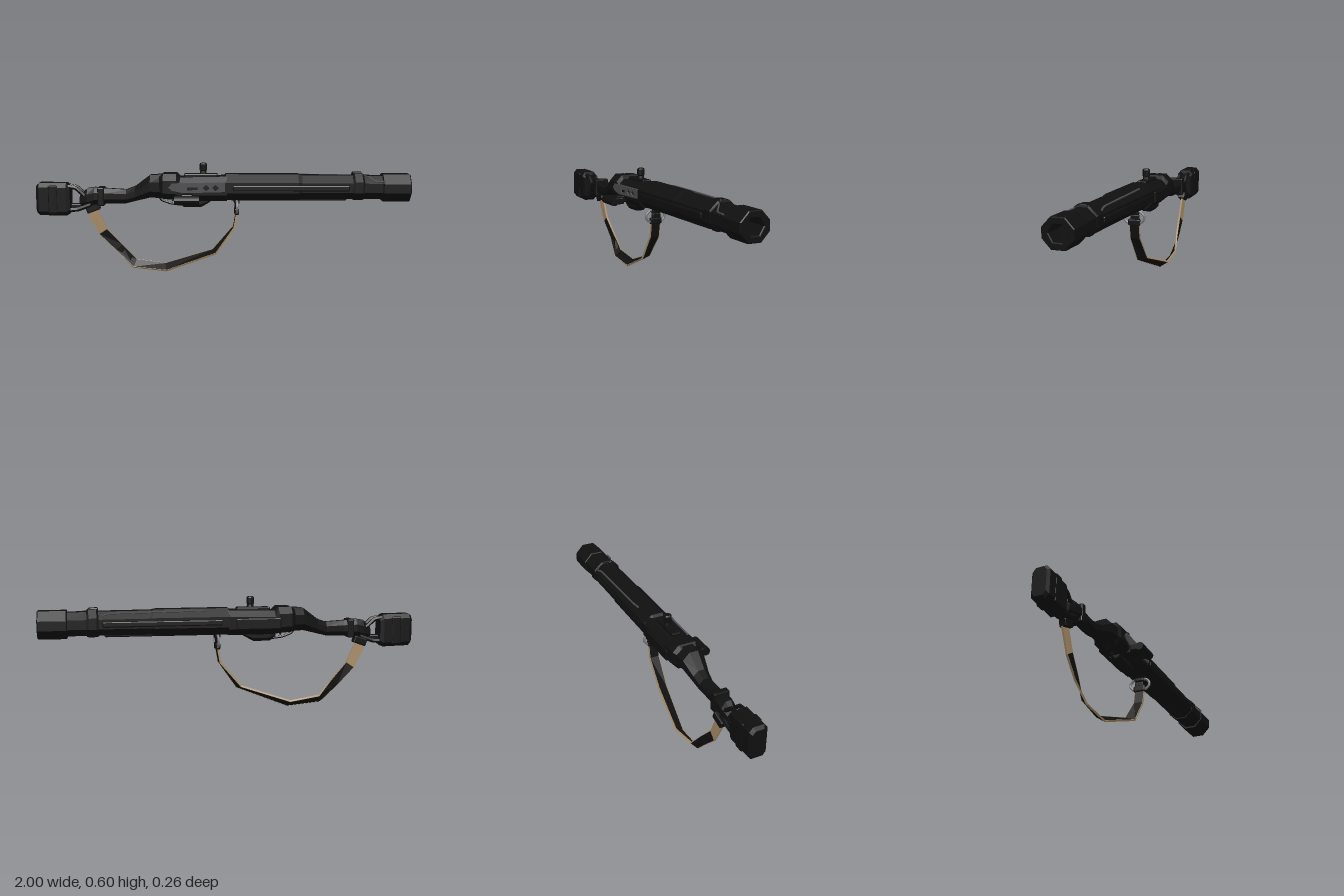
import * as THREE from 'three';
import { RoundedBoxGeometry } from 'three/addons/geometries/RoundedBoxGeometry.js';

const mat = (color) => new THREE.MeshStandardMaterial({ color, flatShading: true, side: THREE.DoubleSide });
const black = mat(0x101010), grey = mat(0x4a4a4c), steel = mat(0x77777c), tan = mat(0xa58a65);
const V = (x, y, z) => new THREE.Vector3(x, y, z);

function add(parent, name, geometry, material = black, x = 0, y = 0, z = 0) {
  const mesh = new THREE.Mesh(geometry, material);
  mesh.name = name;
  mesh.position.set(x, y, z);
  parent.add(mesh);
  return mesh;
}

const box = (parent, name, x, y, z, w, h, d, material = black, r = 0.006) =>
  add(parent, name, new RoundedBoxGeometry(w, h, d, 1, r), material, x, y, z);

// Joins rings of points into a closed skin with end caps
function skin(rings) {
  const n = rings[0].length, pos = [], idx = [];
  for (const ring of rings) for (const p of ring) pos.push(p.x, p.y, p.z);
  for (let s = 0; s < rings.length - 1; s++) {
    for (let i = 0; i < n; i++) {
      const a = s * n + i, b = s * n + (i + 1) % n;
      idx.push(a, a + n, b, b, a + n, b + n);
    }
  }
  const last = (rings.length - 1) * n;
  for (let i = 1; i < n - 1; i++) idx.push(0, i, i + 1, last, last + i + 1, last + i);
  const g = new THREE.BufferGeometry();
  g.setAttribute('position', new THREE.Float32BufferAttribute(pos, 3));
  g.setIndex(idx);
  const flat = g.toNonIndexed();
  flat.computeVertexNormals();
  return flat;
}

// Chamfered outline: half width, bottom, top, chamfer in z and y
const octagon = (w, y0, y1, cz, cy) => [
  [w, y0 + cy], [w - cz, y0], [-w + cz, y0], [-w, y0 + cy],
  [-w, y1 - cy], [-w + cz, y1], [w - cz, y1], [w, y1 - cy]];

// Chamfered body along x; stations are [x, bottom, top, half width]
const loft = (stations, cz = 0.3, cy = 0.3) => skin(stations.map(([x, y0, y1, w]) =>
  octagon(w, y0, y1, w * 2 * cz, (y1 - y0) * cy).map(([z, y]) => V(x, y, z))));

const tube = (points, r, closed = false, seg = 24) => new THREE.TubeGeometry(
  new THREE.CatmullRomCurve3(points.map((p) => V(...p)), closed, 'catmullrom', 0.2), seg, r, 6, closed);

const outline = (pts) => new THREE.Shape(pts.map(([x, y]) => new THREE.Vector2(x, y)));

function buildStock(g) {
  add(g, 'buttBlock', loft([
    [-1, 0.335, 0.48, 0.036], [-0.985, 0.32, 0.494, 0.047], [-0.84, 0.316, 0.492, 0.047],
    [-0.82, 0.33, 0.475, 0.04]], 0.2, 0.13));
  box(g, 'buttBand', -0.91, 0.405, 0, 0.05, 0.15, 0.1);
  for (const z of [-0.022, 0.022]) {
    add(g, 'upperStrut', tube([[-0.84, 0.475, z], [-0.79, 0.465, z], [-0.73, 0.41, z]], 0.011));
    add(g, 'lowerStrut', tube([[-0.84, 0.345, z], [-0.78, 0.35, z], [-0.71, 0.375, z]], 0.012));
  }
  box(g, 'strutBridge', -0.79, 0.365, 0, 0.06, 0.03, 0.04);
  add(g, 'gripStock', loft([
    [-0.77, 0.365, 0.425, 0.026], [-0.73, 0.36, 0.462, 0.036], [-0.69, 0.375, 0.468, 0.04],
    [-0.62, 0.38, 0.462, 0.034], [-0.52, 0.382, 0.456, 0.036], [-0.47, 0.395, 0.475, 0.042],
    [-0.39, 0.415, 0.535, 0.058], [-0.3, 0.41, 0.54, 0.072]]));
  box(g, 'gripCollar', -0.655, 0.42, 0, 0.035, 0.1, 0.084);
}

function buildReceiver(g) {
  add(g, 'receiver', loft([
    [-0.34, 0.43, 0.53, 0.065], [-0.32, 0.41, 0.544, 0.078], [-0.25, 0.405, 0.544, 0.08],
    [-0.23, 0.4, 0.525, 0.076], [0.02, 0.4, 0.53, 0.078]], 0.2, 0.25));
  box(g, 'topRail', -0.12, 0.53, 0, 0.18, 0.025, 0.05);
  box(g, 'sidePanel', -0.14, 0.46, -0.076, 0.24, 0.06, 0.018);

  // Pierced side plate
  const plate = outline([[-0.29, 0.475], [-0.27, 0.498], [0.01, 0.502], [0.01, 0.452], [-0.21, 0.446], [-0.27, 0.458]]);
  const rect = [[-0.19, 0.46], [-0.19, 0.476], [-0.135, 0.478], [-0.135, 0.462]];
  const holes = [rect];
  for (const x of [-0.09, -0.04]) holes.push([[x - 0.019, 0.473], [x, 0.49], [x + 0.019, 0.473], [x, 0.456]]);
  for (const h of holes) plate.holes.push(outline(h));
  add(g, 'sidePlate', new THREE.ExtrudeGeometry(plate, { depth: 0.012, bevelEnabled: false }), grey, 0, 0, 0.073);

  // Sight post
  add(g, 'sightNeck', new THREE.CylinderGeometry(0.014, 0.022, 0.04, 10), black, -0.107, 0.55, 0);
  const cap = [[0, 0], [0.015, 0], [0.021, 0.007], [0.021, 0.036], [0.016, 0.043], [0, 0.043]];
  add(g, 'sightCap', new THREE.LatheGeometry(cap.map((p) => new THREE.Vector2(...p)), 10), black, -0.107, 0.555, 0);

  // Side knob on its arm
  box(g, 'knobArm', -0.19, 0.425, 0.09, 0.06, 0.035, 0.07);
  const knob = add(g, 'sideKnob', new THREE.CylinderGeometry(0.022, 0.022, 0.13, 10), black, -0.19, 0.417, 0.148);
  knob.rotation.z = Math.PI / 2;
  box(g, 'knobSleeve', -0.19, 0.42, 0.12, 0.12, 0.036, 0.06);

  // Lower housing, trigger and guard
  add(g, 'lowerHousing', loft([
    [-0.24, 0.385, 0.42, 0.03], [-0.21, 0.362, 0.42, 0.035], [-0.12, 0.362, 0.42, 0.035], [-0.07, 0.39, 0.42, 0.03]], 0.2));
  add(g, 'triggerGuard', tube([[-0.35, 0.425, 0], [-0.33, 0.398, 0], [-0.28, 0.38, 0], [-0.21, 0.372, 0]], 0.007));
  add(g, 'trigger', tube([[-0.27, 0.42, 0], [-0.265, 0.405, 0], [-0.275, 0.392, 0]], 0.005));
}

function buildBarrel(g) {
  add(g, 'rearBarrel', loft([
    [0, 0.41, 0.53, 0.07], [0.015, 0.402, 0.541, 0.078], [0.4, 0.404, 0.54, 0.077], [0.42, 0.41, 0.535, 0.073]]));
  add(g, 'foreBarrel', loft([[0.4, 0.409, 0.535, 0.073], [0.72, 0.409, 0.533, 0.072], [0.88, 0.409, 0.53, 0.068]]));
  add(g, 'barrelBand', loft([[0.69, 0.405, 0.538, 0.074], [0.7, 0.402, 0.546, 0.077], [0.74, 0.402, 0.546, 0.077], [0.75, 0.405, 0.538, 0.074]]));
  box(g, 'bandLug', 0.715, 0.543, 0, 0.05, 0.018, 0.04);

  // Muzzle sleeve with a six-sided bore
  const sleeve = outline(octagon(0.074, -0.068, 0.068, 0.042, 0.045));
  const bore = [];
  for (let i = 0; i < 6; i++) bore.push([0.05 * Math.cos(i * Math.PI / 3), 0.05 * Math.sin(i * Math.PI / 3)]);
  sleeve.holes.push(outline(bore));
  const muzzle = add(g, 'muzzle', new THREE.ExtrudeGeometry(sleeve, {
    depth: 0.14, bevelThickness: 0.005, bevelSize: 0.004, bevelSegments: 1 }), black, 0.852, 0.468, 0);
  muzzle.rotation.y = Math.PI / 2;

  for (const s of [-1, 1]) box(g, 'sideRib', 0.36, 0.47, s * 0.073, 0.62, 0.03, 0.016);
  box(g, 'underRail', 0.35, 0.407, 0, 0.62, 0.016, 0.05);
  add(g, 'topWire', tube([[0.14, 0.53, -0.05], [0.2, 0.532, -0.058], [0.62, 0.526, -0.06], [0.67, 0.515, -0.064]], 0.005), grey);
  add(g, 'muzzlePipe', tube([[0.75, 0.533, 0.03], [0.775, 0.527, 0.048], [0.8, 0.508, 0.069], [0.86, 0.506, 0.073]], 0.004), grey);
}

function buildSling(root) {
  // Front ring and clip
  const ring = [];
  for (const [z, y] of octagon(0.054, 0.335, 0.395, 0.02, 0.02)) ring.push([0.072, y, z - 0.026]);
  add(root, 'slingRing', tube(ring, 0.007, true, 40), steel);
  box(root, 'ringMount', 0.072, 0.395, -0.028, 0.03, 0.03, 0.05);
  box(root, 'slingClip', 0.071, 0.338, -0.027, 0.024, 0.034, 0.066);
  box(root, 'clipTongue', 0.071, 0.365, -0.03, 0.016, 0.03, 0.05);
  const anchor = box(root, 'rearAnchor', -0.705, 0.352, -0.095, 0.075, 0.04, 0.04);
  anchor.rotation.z = 0.35;

  // Both edges of the strap at each bend
  const edges = [
    [V(0.072, 0.33, 0), V(0.072, 0.33, -0.055)],
    [V(0.058, 0.25, -0.001), V(0.058, 0.25, -0.056)],
    [V(-0.04, 0.108, -0.008), V(-0.055, 0.12, -0.062)],
    [V(-0.31, 0.004, -0.06), V(-0.315, 0.036, -0.107)],
    [V(-0.49, 0.022, -0.075), V(-0.475, 0.06, -0.11)],
    [V(-0.585, 0.115, -0.098), V(-0.55, 0.148, -0.1)],
    [V(-0.675, 0.205, -0.1), V(-0.63, 0.235, -0.094)],
    [V(-0.735, 0.325, -0.1), V(-0.68, 0.345, -0.095)]];
  const mid = edges.map(([a, b]) => a.clone().lerp(b, 0.5));
  // A band between two fractions of the strap width
  const band = (from, to, u, v, t) => {
    const rings = [];
    for (let i = from; i <= to; i++) {
      const [a, b] = edges[i];
      const along = mid[Math.min(i + 1, mid.length - 1)].clone().sub(mid[Math.max(i - 1, 0)]);
      const n = b.clone().sub(a).cross(along).setLength(t / 2);
      const p = a.clone().lerp(b, u), q = a.clone().lerp(b, v);
      rings.push([p.clone().add(n), q.clone().add(n), q.clone().sub(n), p.clone().sub(n)]);
    }
    return skin(rings);
  };
  add(root, 'strap', band(0, 6, 0.04, 0.96, 0.008));
  add(root, 'strapEdge', band(0, 6, 0, 0.05, 0.01), tan);
  add(root, 'strapEdge', band(0, 6, 0.95, 1, 0.01), tan);
  add(root, 'strapEnd', band(6, 7, 0, 1, 0.009), tan);
}

export function createModel() {
  const root = new THREE.Group();
  root.name = 'slungLauncher';
  // The body sits slightly turned about the vertical
  const body = new THREE.Group();
  body.name = 'body';
  body.position.z = -0.033;
  body.rotation.y = -0.052;
  buildStock(body);
  buildReceiver(body);
  buildBarrel(body);
  root.add(body);
  buildSling(root);
  return root;
}
